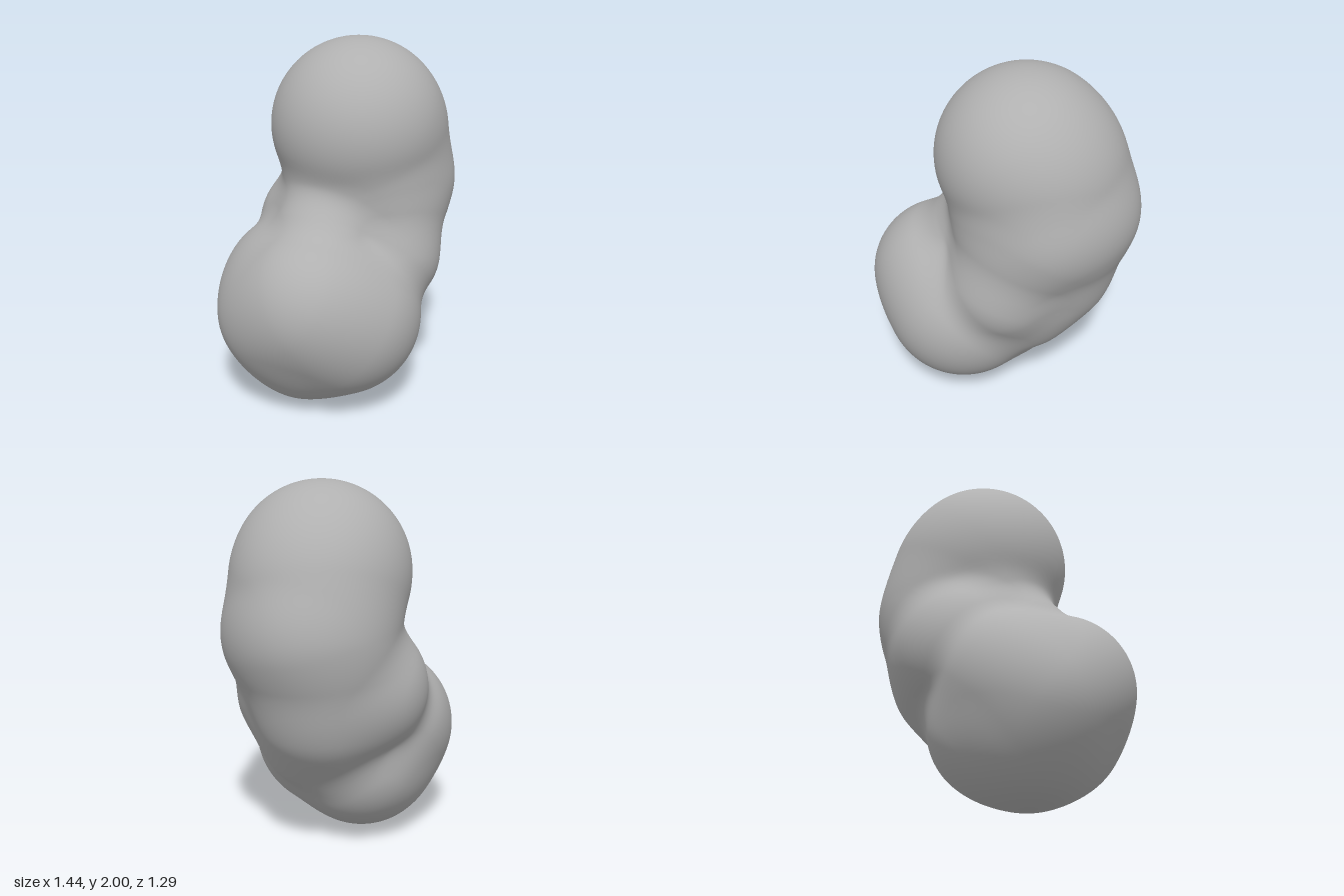
import * as THREE from 'three';
import { mergeVertices } from 'three/addons/utils/BufferGeometryUtils.js';

// Lobes of the body: x, y, z, radius
const LOBES = [
  [0.15, 1.52, -0.07, 0.48],  // head
  [0.22, 1.42, -0.14, 0.45],  // nape
  [0.25, 1.22, -0.21, 0.43],  // back shoulder
  [0.35, 1.22, -0.24, 0.34],  // rear corner of shoulder
  [0.30, 1.20, -0.08, 0.41],  // side shoulder
  [0.20, 1.20, 0.00, 0.36],   // chest
  [0.05, 1.15, -0.05, 0.33],  // neck
  [-0.08, 0.92, 0.06, 0.32],  // throat
  [0.25, 1.02, 0.02, 0.34],   // side ribs
  [0.22, 1.03, -0.20, 0.40],  // back ribs
  [0.20, 0.83, -0.18, 0.385], // back waist
  [0.02, 0.90, -0.22, 0.385], // inner waist
  [0.22, 0.82, 0.10, 0.33],   // side waist
  [0.12, 0.66, -0.05, 0.38],  // hip
  [-0.24, 0.64, 0.22, 0.41],  // front belly
  [-0.07, 0.53, 0.195, 0.45], // middle belly
  [-0.31, 0.54, 0.07, 0.405], // outer belly
  [-0.25, 0.64, -0.04, 0.39], // rear fold
  [-0.09, 0.45, -0.05, 0.39], // lower fold
  [-0.20, 0.40, 0.06, 0.40],  // base
];
const BLEND = 0.08;

// Distance to the softly blended lobes
function bodyDistance(x, y, z) {
  let d = Infinity;
  for (const [cx, cy, cz, r] of LOBES) {
    const e = Math.hypot(x - cx, y - cy, z - cz) - r;
    const h = Math.max(BLEND - Math.abs(d - e), 0) / BLEND;
    d = Math.min(d, e) - h * h * BLEND / 4;
  }
  return d;
}

// Shrinks a fine ball onto the blended lobes
function bodyGeometry() {
  let g = new THREE.IcosahedronGeometry(1, 50);
  g.deleteAttribute('uv');
  g.deleteAttribute('normal');
  g = mergeVertices(g, 1e-5);
  const pos = g.attributes.position;
  const centre = new THREE.Vector3(0.05, 0.9, 0);
  const dir = new THREE.Vector3();
  const p = new THREE.Vector3();
  for (let i = 0; i < pos.count; i++) {
    dir.fromBufferAttribute(pos, i).normalize();
    let r = 1.6;
    for (let s = 0; s < 150; s++) {
      p.copy(centre).addScaledVector(dir, r);
      const d = bodyDistance(p.x, p.y, p.z);
      if (d < 1e-4) break;
      r -= d;
    }
    pos.setXYZ(i, p.x, p.y, p.z);
  }
  g.computeVertexNormals();
  return g;
}

export function createModel() {
  const group = new THREE.Group();
  group.name = 'lobedBody';
  const grey = new THREE.MeshStandardMaterial({ color: 0xb0b0b0 });
  grey.name = 'grey';
  const body = new THREE.Mesh(bodyGeometry(), grey);
  body.name = 'body';
  group.add(body);
  return group;
}
